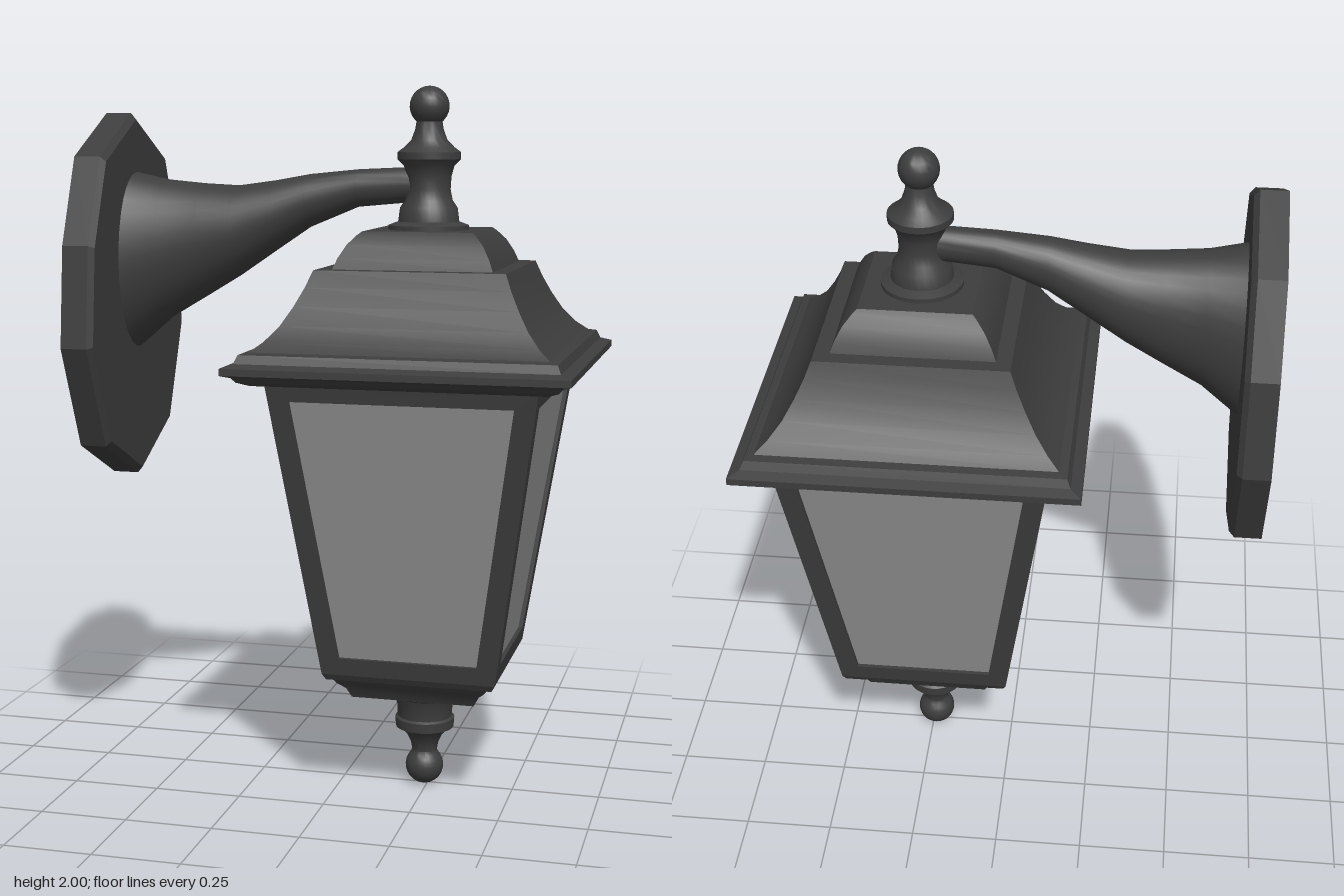
import * as THREE from 'three';
import { toCreasedNormals } from 'three/addons/utils/BufferGeometryUtils.js';

const metal = new THREE.MeshStandardMaterial({ color: 0x3d3d3d });
metal.name = 'dark metal';
const glass = new THREE.MeshStandardMaterial({ color: 0x8e8e8e });
glass.name = 'frosted glass';

const CX = 0.24; // lantern axis

function part(name, geometry, material = metal) {
  const mesh = new THREE.Mesh(geometry, material);
  mesh.name = name;
  return mesh;
}

// Turned profile, [radius, y] from bottom to top
function turned(name, profile) {
  const pts = profile.map(([r, y]) => new THREE.Vector2(r, y));
  return part(name, toCreasedNormals(new THREE.LatheGeometry(pts, 28), 0.6));
}

// Square tier, [half width, y] from bottom to top
function square(name, profile) {
  const pts = profile.map(([h, y]) => new THREE.Vector2(h * Math.SQRT2, y));
  return part(name, toCreasedNormals(new THREE.LatheGeometry(pts, 4, Math.PI / 4), 0.4));
}

// Triangles from a list of quads, corners counter-clockwise from outside
function quads(list) {
  const pos = [];
  for (const [a, b, c, d] of list) pos.push(...a, ...b, ...c, ...a, ...c, ...d);
  const g = new THREE.BufferGeometry();
  g.setAttribute('position', new THREE.Float32BufferAttribute(pos, 3));
  g.computeVertexNormals();
  return g;
}

// Skin over closed rings that advance along +x
function loft(rings, crease) {
  const list = [];
  for (let i = 0; i < rings.length - 1; i++) {
    const n = rings[i].length;
    for (let j = 0; j < n; j++) {
      const k = (j + 1) % n;
      list.push([rings[i][j], rings[i][k], rings[i + 1][k], rings[i + 1][j]]);
    }
  }
  return toCreasedNormals(quads(list), crease);
}

// Quarter of a ball end on the axis, as profile points
function ball(cy, r, from, to, steps = 10) {
  return Array.from({ length: steps + 1 }, (_, i) => {
    const a = from + (to - from) * i / steps;
    return [Math.max(0, r * Math.cos(a)), cy + r * Math.sin(a)];
  });
}

function wallPlate() {
  const half = [[0.245, 1.81], [0.345, 1.57], [0.375, 1.29], [0.25, 1.0]];
  const outline = [[0, 1.93], ...half, [0, 0.88],
    ...half.slice().reverse().map(([z, y]) => [-z, y])];
  const ring = (x, s) => outline.map(([z, y]) => [x, 1.405 + (y - 1.405) * s, z * s]);
  return part('wallPlate', loft([
    ring(-0.71, 0), ring(-0.71, 1), ring(-0.635, 1), ring(-0.62, 0.965), ring(-0.62, 0),
  ], 0.2));
}

function arm() {
  // x, bottom y, top y, half depth
  const sections = [
    [-0.63, 1.25, 1.765, 0.163], [-0.52, 1.345, 1.742, 0.13], [-0.41, 1.41, 1.732, 0.118],
    [-0.31, 1.47, 1.727, 0.105], [-0.2, 1.545, 1.742, 0.085], [-0.1, 1.612, 1.76, 0.065],
    [0.04, 1.67, 1.774, 0.046], [0.17, 1.682, 1.78, 0.04], [0.24, 1.685, 1.78, 0.04],
  ];
  const n = 32;
  const rings = sections.map(([x, lo, hi, d]) => Array.from({ length: n }, (_, j) => {
    const a = j / n * Math.PI * 2;
    return [x, (lo + hi) / 2 + (hi - lo) / 2 * Math.cos(a), d * Math.sin(a)];
  }));
  return part('arm', loft(rings, 0.6));
}

// One sloping side of the lantern: frame with a slightly sunken pane
function lanternSide(angle) {
  const yLo = 0.38, yHi = 1.215, slope = (0.37 - 0.245) / (yHi - yLo);
  const depth = y => 0.245 + (y - yLo) * slope;
  const corners = (wLo, wHi, y0, y1, inset) => [
    [-wLo, y0, depth(y0) - inset], [wLo, y0, depth(y0) - inset],
    [wHi, y1, depth(y1) - inset], [-wHi, y1, depth(y1) - inset]];
  const outer = corners(0.245, 0.37, yLo, yHi, 0);
  const hole = corners(0.195, 0.305, 0.43, 1.165, 0);
  const back = corners(0.195, 0.305, 0.43, 1.165, 0.012);
  const strips = [];
  for (let i = 0; i < 4; i++) {
    const k = (i + 1) % 4;
    strips.push([outer[i], outer[k], hole[k], hole[i]], [hole[i], hole[k], back[k], back[i]]);
  }
  const side = new THREE.Group();
  side.name = 'lanternSide';
  side.add(part('frame', quads(strips)), part('pane', quads([back]), glass));
  side.rotation.y = angle;
  return side;
}

export function createModel() {
  const model = new THREE.Group();
  model.name = 'wallLantern';
  model.add(wallPlate(), arm());

  const lantern = new THREE.Group();
  lantern.name = 'lantern';
  lantern.position.x = CX;
  model.add(lantern);

  for (let i = 0; i < 4; i++) lantern.add(lanternSide(i * Math.PI / 2));

  // Stepped roof with flared skirt and rim
  lantern.add(square('roof', [
    [0, 1.21], [0.4, 1.21], [0.43, 1.222], [0.44, 1.235], [0.465, 1.243], [0.465, 1.262],
    [0.435, 1.272], [0.425, 1.295], [0.402, 1.3], [0.37, 1.325], [0.335, 1.365],
    [0.305, 1.415], [0.28, 1.465], [0.262, 1.51], [0.22, 1.51],
    [0.208, 1.54], [0.188, 1.575], [0.165, 1.6], [0.153, 1.61], [0, 1.61],
  ]));

  // Stepped square foot
  lantern.add(square('foot', [
    [0, 0.297], [0.175, 0.297], [0.188, 0.325], [0.21, 0.345], [0.222, 0.362],
    [0.235, 0.362], [0.245, 0.38], [0, 0.38],
  ]));

  lantern.add(turned('topFinial', [
    [0.112, 1.605], [0.112, 1.622], [0.085, 1.632], [0.08, 1.67], [0.066, 1.69],
    [0.06, 1.72], [0.062, 1.755], [0.07, 1.785], [0.088, 1.803], [0.088, 1.822],
    [0.07, 1.835], [0.05, 1.855], [0.039, 1.885], [0.036, 1.905],
    ...ball(1.947, 0.055, -0.75, Math.PI / 2),
  ]));

  lantern.add(turned('bottomFinial', [
    ...ball(0.053, 0.055, -Math.PI / 2, 0.75),
    [0.036, 0.1], [0.04, 0.122], [0.052, 0.148], [0.068, 0.165], [0.084, 0.172],
    [0.086, 0.2], [0.079, 0.205], [0.08, 0.235], [0.09, 0.265], [0.112, 0.275], [0.112, 0.3],
  ]));

  return model;
}
